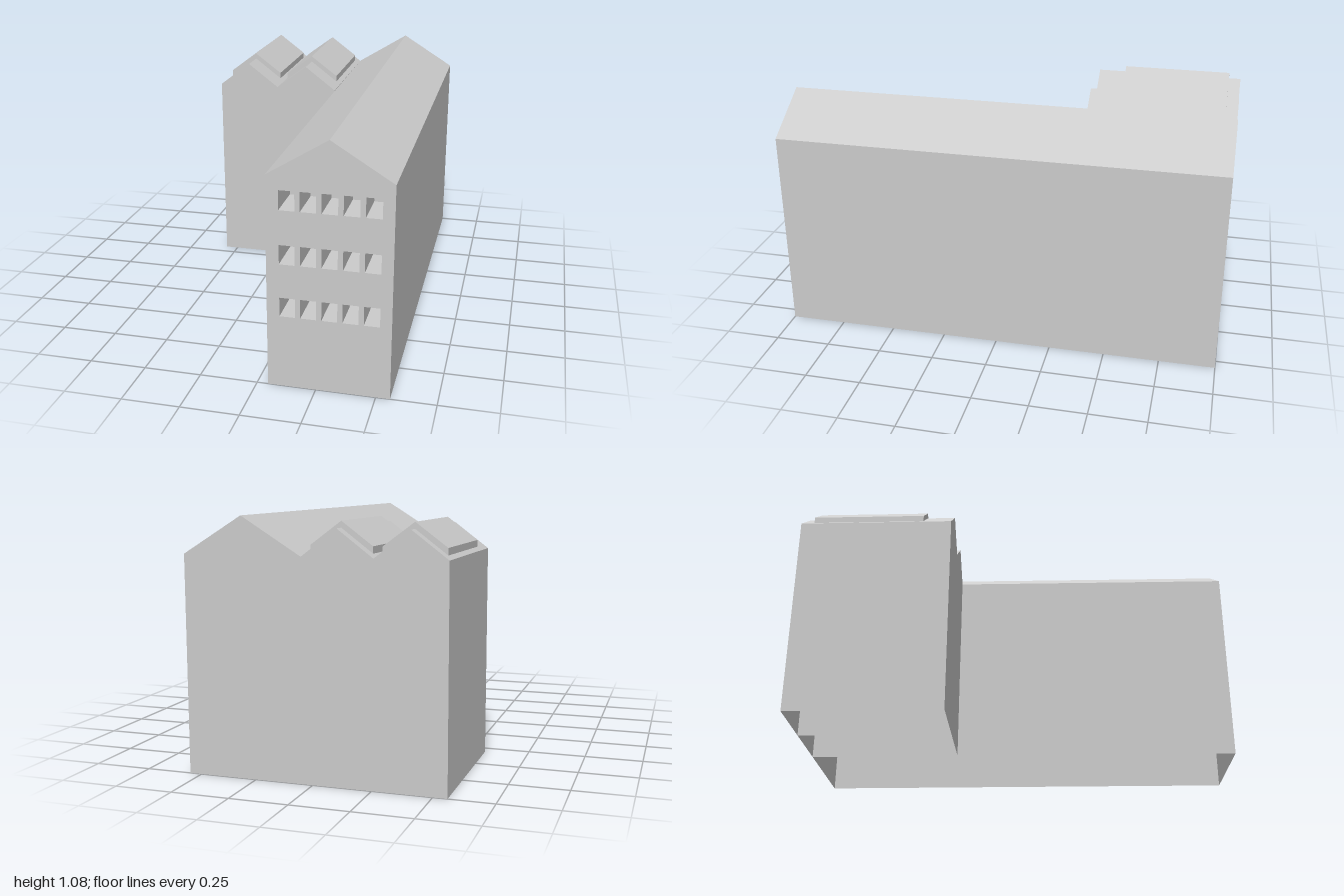
import * as THREE from 'three';
import { mergeGeometries } from 'three/addons/utils/BufferGeometryUtils.js';

const material = new THREE.MeshStandardMaterial({ color: 0xcccccc, flatShading: true, side: THREE.DoubleSide });

const rectangle = (x, y, w, h) => new THREE.Path([[x, y], [x, y + h], [x + w, y + h], [x + w, y]].map(p => new THREE.Vector2(...p)));

// Shell swept along z from an outline (left to right over the top), open underneath.
// "under" adds lower corners to the end walls only.
function shell(name, outline, z0, z1, { holes = [], under = [] } = {}) {
  const points = [...outline, ...under].map(p => new THREE.Vector2(...p));
  const front = new THREE.Shape(points);
  front.holes.push(...holes);
  const parts = [
    new THREE.ShapeGeometry(front).toNonIndexed().translate(0, 0, z1),
    new THREE.ShapeGeometry(new THREE.Shape(points)).toNonIndexed().rotateY(Math.PI).scale(-1, 1, 1).translate(0, 0, z0),
  ];
  // walls and roof slopes
  const strip = [];
  for (let i = 0; i < outline.length - 1; i++) {
    const [a, b] = [outline[i], outline[i + 1]];
    strip.push(...a, z0, ...a, z1, ...b, z1, ...a, z0, ...b, z1, ...b, z0);
  }
  const sides = new THREE.BufferGeometry();
  sides.setAttribute('position', new THREE.Float32BufferAttribute(strip, 3));
  parts.push(sides);
  parts.forEach(g => { g.deleteAttribute('uv'); g.deleteAttribute('normal'); });
  // the mirrored back wall needs its corner order turned round
  const back = parts[1].attributes.position;
  for (let i = 0; i < back.count; i += 3) {
    const p = new THREE.Vector3().fromBufferAttribute(back, i + 1);
    const q = new THREE.Vector3().fromBufferAttribute(back, i + 2);
    if (new THREE.Vector3().fromBufferAttribute(back, i).sub(p).cross(q.clone().sub(p)).z < 0) {
      back.setXYZ(i + 1, q.x, q.y, q.z);
      back.setXYZ(i + 2, p.x, p.y, p.z);
    }
    // corners now run anticlockwise or clockwise as seen from behind
    const a = new THREE.Vector3().fromBufferAttribute(back, i);
    const b = new THREE.Vector3().fromBufferAttribute(back, i + 1);
    const c = new THREE.Vector3().fromBufferAttribute(back, i + 2);
    if (b.clone().sub(a).cross(c.clone().sub(a)).z > 0) {
      back.setXYZ(i + 1, c.x, c.y, c.z);
      back.setXYZ(i + 2, b.x, b.y, b.z);
    }
  }
  const geometry = mergeGeometries(parts);
  geometry.computeVertexNormals();
  const mesh = new THREE.Mesh(geometry, material);
  mesh.name = name;
  return mesh;
}

const gable = (x0, x1, eave, ridge) => [[x0, 0], [x0, eave], [(x0 + x1) / 2, ridge], [x1, eave], [x1, 0]];

export function createModel() {
  const model = new THREE.Group();
  model.name = 'building';

  // Window grid on the hall's front gable
  const w = 0.065, h = 0.083, depth = 0.18;
  const windows = [];
  for (const y of [0.32, 0.55, 0.78])
    for (let i = 0; i < 5; i++) windows.push([0.1 + i * 0.0865, y]);

  // Long hall, set very slightly askew
  const hall = shell('mainHall', gable(0.047, 0.559, 0.922, 1.08), -1, 1,
    { holes: windows.map(([x, y]) => rectangle(x, y, w, h)) });
  const pos = hall.geometry.attributes.position;
  for (let i = 0; i < pos.count; i++) pos.setX(i, pos.getX(i) + 0.0035 * (pos.getZ(i) - 1));
  hall.geometry.computeVertexNormals();
  model.add(hall);

  // Window recesses: boxes without their front face
  const recess = new THREE.BoxGeometry(w, h, depth);
  const index = Array.from(recess.index.array);
  recess.setIndex([...index.slice(0, 24), ...index.slice(30)]);
  const recesses = new THREE.Group();
  recesses.name = 'windowRecesses';
  for (const [x, y] of windows) {
    const mesh = new THREE.Mesh(recess, material);
    mesh.name = 'windowRecess';
    mesh.position.set(x + w / 2, y + h / 2, 1 - depth / 2);
    recesses.add(mesh);
  }
  model.add(recesses);

  // Two gabled bays of the side wing, each with a raised cap along its ridge
  for (const x of [-0.41, -0.11]) {
    model.add(shell('wingBay', gable(x - 0.15, x + 0.15, 0.922, 1.035), -1, -0.31));
    model.add(shell('roofCap',
      [[x - 0.131, 0.935], [x - 0.131, 0.965], [x, 1.062], [x + 0.131, 0.965], [x + 0.131, 0.935]],
      -0.945, -0.44, { under: [[x, 1.033]] }));
  }
  return model;
}
